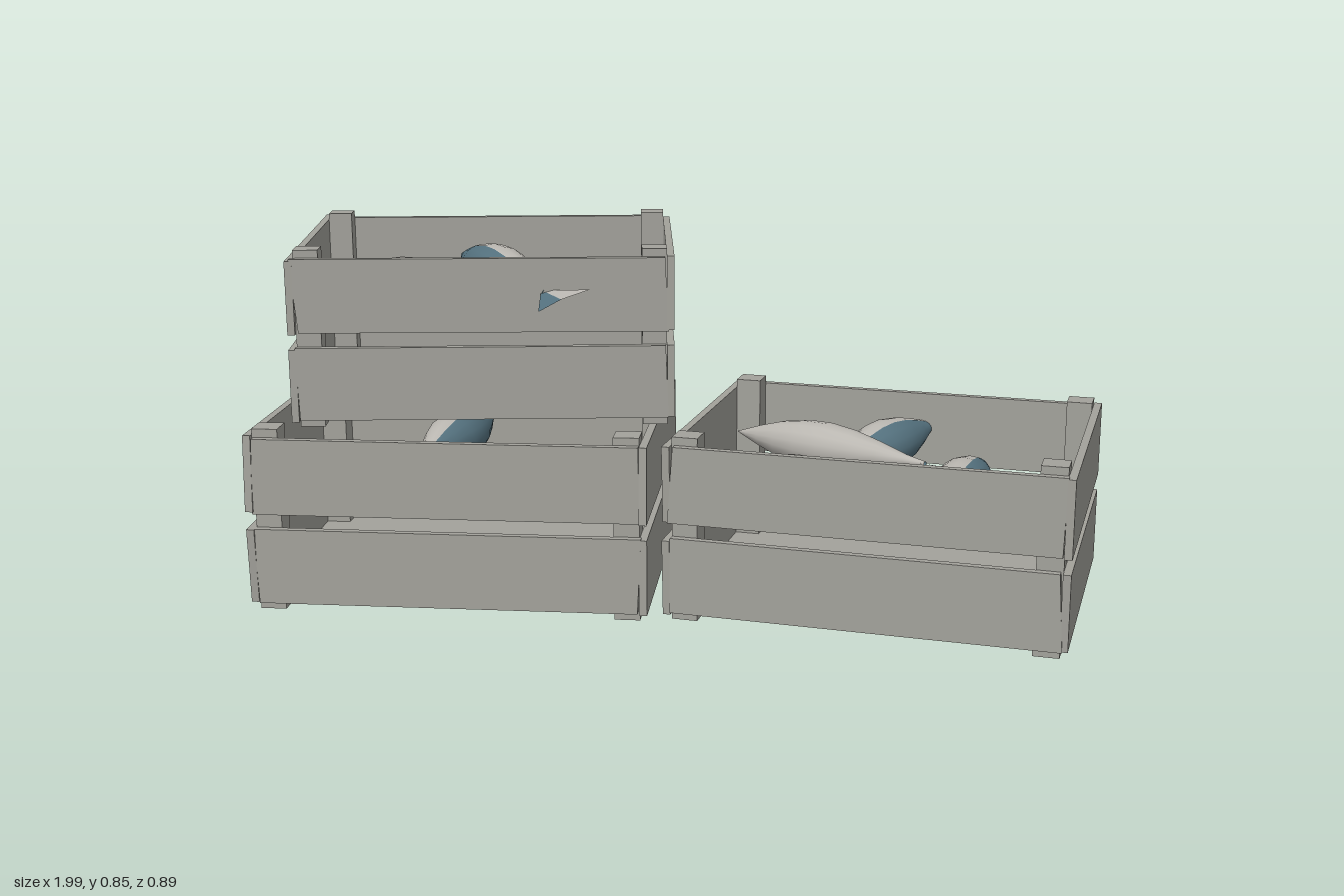
import * as THREE from 'three';

const wood = new THREE.MeshStandardMaterial({ color: 0xa3a29b });
wood.name = 'greyWood';
const silver = new THREE.MeshStandardMaterial({ color: 0xbab7b1, side: THREE.DoubleSide });
silver.name = 'silverBelly';
const blue = new THREE.MeshStandardMaterial({ color: 0x54717e, side: THREE.DoubleSide });
blue.name = 'blueBack';

// Small seeded generator for the uneven board ends
let seed = 7;
const jitter = (a) => {
  seed = (seed * 16807) % 2147483647;
  return (seed / 2147483647 - 0.5) * 2 * a;
};

function add(parent, name, geometry, material, x = 0, y = 0, z = 0) {
  const mesh = new THREE.Mesh(geometry, material);
  mesh.name = name;
  mesh.position.set(x, y, z);
  parent.add(mesh);
  return mesh;
}

// Board along x whose ends are cut slightly askew
function boardGeometry(length, height, thickness) {
  const g = new THREE.BoxGeometry(length, height, thickness);
  const p = g.attributes.position;
  const skew = [jitter(0.009), jitter(0.009)];
  for (let i = 0; i < p.count; i++) {
    const end = p.getX(i) > 0 ? 1 : 0;
    p.setX(i, p.getX(i) + skew[end] * Math.sign(p.getY(i)));
  }
  g.computeVertexNormals();
  return g;
}

const T = 0.018; // board thickness

function crate(name, W, D) {
  const g = new THREE.Group();
  g.name = name;
  // Corner posts
  for (const sx of [-1, 1]) for (const sz of [-1, 1]) {
    add(g, 'cornerPost', new THREE.BoxGeometry(0.06, 0.435, 0.06), wood,
      sx * (W / 2 - T - 0.03), 0.2175, sz * (D / 2 - T - 0.03));
  }
  // Two rows of boards on each wall
  for (const y of [0.11, 0.326]) for (const s of [-1, 1]) {
    const long = add(g, 'longBoard', boardGeometry(W - 2 * T, 0.18, T), wood, 0, y, s * (D / 2 - T / 2));
    long.rotation.z = jitter(0.003);
    const short = add(g, 'endBoard', boardGeometry(D, 0.18, T), wood, s * (W / 2 - T / 2), y, 0);
    short.rotation.y = Math.PI / 2;
    short.rotation.x = jitter(0.02);
  }
  // Three floor planks
  const plank = (D - 2 * T) / 3;
  for (const i of [-1, 0, 1]) {
    add(g, 'floorPlank', new THREE.BoxGeometry(W - 2 * T, 0.015, plank - 0.01), wood, 0, 0.022, i * plank);
  }
  return g;
}

// Body outline from snout to tail root: position along the body, relative radius
const outline = [[0, 0], [0.06, 0.2], [0.14, 0.46], [0.25, 0.76], [0.38, 0.97], [0.5, 1],
  [0.63, 0.86], [0.77, 0.57], [0.9, 0.25], [1, 0.1]];

// Fish from snout point to tail root; side +1 or -1 turns the blue back to either flank
function fish(head, tail, side) {
  const g = new THREE.Group();
  g.name = 'fish';
  const a = new THREE.Vector3(...head), d = new THREE.Vector3(...tail).sub(a);
  const L = d.length();
  const pts = outline.map(([t, r]) => new THREE.Vector2(r * 0.066, t * L));
  const half = (start) => {
    const body = new THREE.LatheGeometry(pts, 8, start, Math.PI);
    body.rotateZ(-Math.PI / 2);
    body.scale(1, 0.88, 1);
    return body;
  };
  add(g, 'fishBack', half(-Math.PI / 2), blue);
  add(g, 'fishBelly', half(Math.PI / 2), silver);
  // Tail fin, one lobe in each colour
  for (const s of [-1, 1]) {
    const lobe = new THREE.Shape([
      new THREE.Vector2(L - 0.02, 0), new THREE.Vector2(L + 0.085, 0),
      new THREE.Vector2(L + 0.1, s * 0.065), new THREE.Vector2(L - 0.01, s * 0.008),
    ]);
    const fin = new THREE.ShapeGeometry(lobe);
    fin.rotateX(Math.PI / 2);
    add(g, 'tailFin', fin, s > 0 ? blue : silver);
  }
  const tilt = 0.3;
  g.position.copy(a);
  g.rotation.set(side > 0 ? tilt : Math.PI - tilt, Math.atan2(-d.z, d.x), Math.asin(d.y / L), 'YZX');
  return g;
}

export function createModel() {
  const model = new THREE.Group();
  model.name = 'stackedFishCrates';

  const lower = crate('lowerCrate', 0.93, 0.67);
  lower.position.set(-0.532, 0, -0.05);
  const upper = crate('upperCrate', 0.93, 0.67);
  upper.scale.setScalar(0.935);
  upper.position.set(-0.482, 0.443, -0.078);
  upper.rotation.y = 0.12;
  const side = crate('sideCrate', 0.92, 0.67);
  side.position.set(0.481, 0, 0.021);
  side.rotation.y = -0.192;
  model.add(lower, upper, side);

  const catches = [
    // lower crate
    [[-0.62, 0.33, 0.1], [-0.53, 0.33, -0.32], 1],
    // upper crate
    [[-0.9, 0.7, -0.06], [-0.54, 0.7, -0.3], 1],
    [[-0.58, 0.765, -0.21], [-0.3, 0.755, 0.215], 1],
    [[-0.1, 0.71, -0.225], [-0.51, 0.7, 0.06], -1],
    // side crate
    [[0.36, 0.31, 0.0], [0.6, 0.33, -0.33], 1],
    [[0.11, 0.35, -0.13], [0.56, 0.35, 0.12], -1],
    [[0.45, 0.31, 0.245], [0.045, 0.29, -0.04], -1],
    [[0.715, 0.27, -0.2], [0.575, 0.27, 0.26], -1],
  ];
  for (const c of catches) model.add(fish(...c));
  return model;
}
